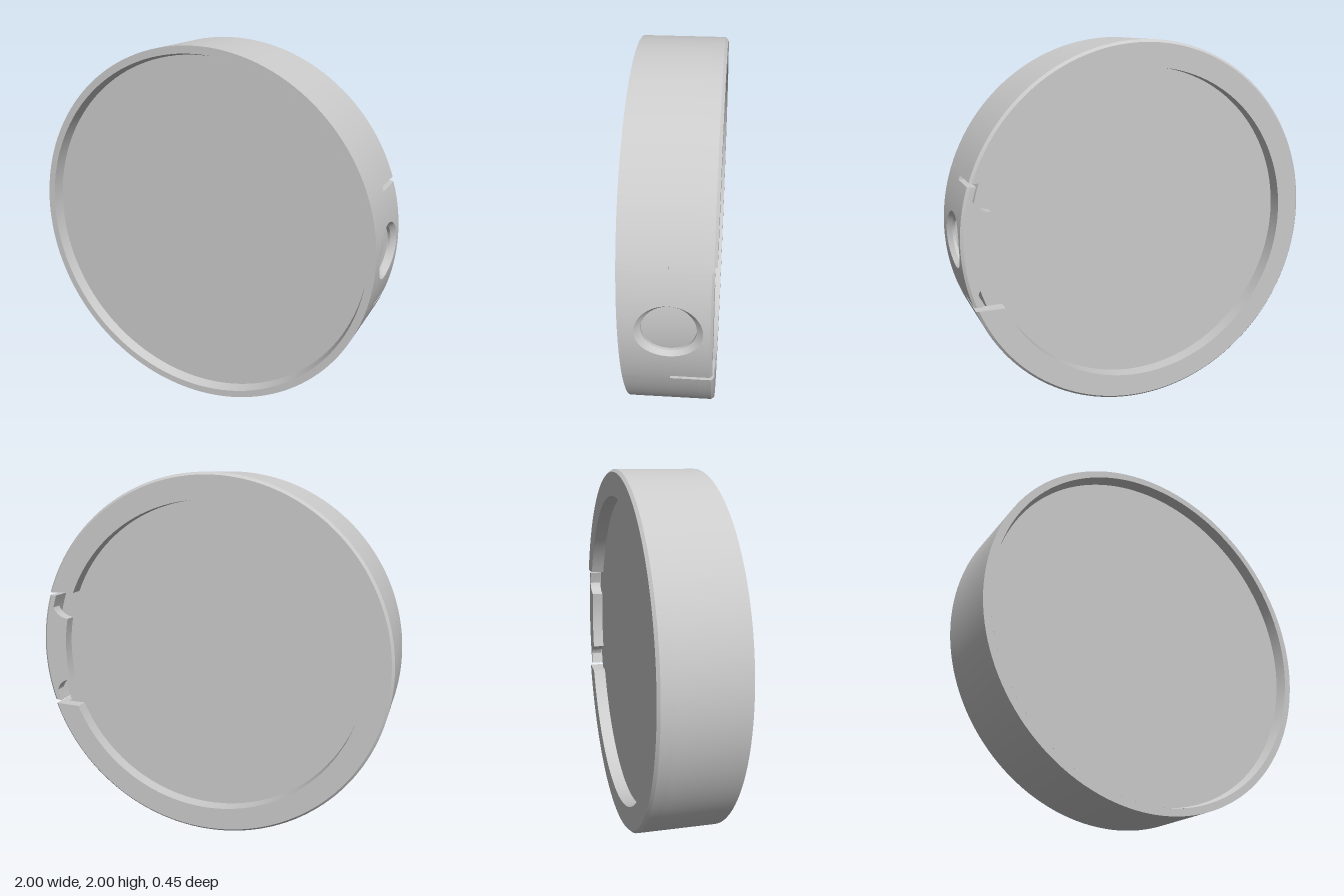
import * as THREE from 'three';
import { toCreasedNormals } from 'three/addons/utils/BufferGeometryUtils.js';

const R = 1, INNER = 0.96, LIP = 0.86;    // outer wall, inner wall, back lip radius
const FRONT = 0.225, BACK = -0.225;
const FLOOR = -0.15;                      // back floor, underside of the lip
const GAP = 0.335, TAB = 0.312;           // half heights of the side opening and of the tab
const TAB_BACK = -0.203, CHAMFER = 0.012;

const onArc = (r, y) => new THREE.Vector2(Math.sqrt(r * r - y * y), y);

// Ring of radii r0..r1 with a level cut open at +x
function openRing(r0, r1) {
  const a1 = Math.asin(GAP / r1), a0 = Math.asin(GAP / r0);
  const s = new THREE.Shape();
  s.absarc(0, 0, r1, a1, 2 * Math.PI - a1, false);
  s.absarc(0, 0, r0, 2 * Math.PI - a0, a0, true);
  s.closePath();
  return s;
}

function extrude(shape, z0, z1, steps = 1) {
  const g = new THREE.ExtrudeGeometry(shape, { depth: z1 - z0, steps, bevelEnabled: false, curveSegments: 64 });
  return g.translate(0, 0, z0);
}

// Back lip with its outer back edge chamfered
function lipGeometry() {
  const g = extrude(openRing(LIP, R), BACK, FLOOR, 5);
  const p = g.attributes.position;
  for (let i = 0; i < p.count; i++) {
    if (p.getZ(i) < BACK + 0.001 && Math.hypot(p.getX(i), p.getY(i)) > 0.98) {
      p.setXY(i, p.getX(i) * 0.986, p.getY(i) * 0.986);
    }
  }
  return g;
}

// Curved wall section with a countersunk round hole, closed on every side
function tabGeometry() {
  const hz = -0.01, rim = [], n = 20;
  const corners = [[-TAB, TAB_BACK], [TAB, TAB_BACK], [TAB, FRONT], [-TAB, FRONT]];
  corners.forEach((c, k) => {
    const d = corners[(k + 1) % 4];
    for (let i = 0; i < n; i++) rim.push([c[0] + (d[0] - c[0]) * i / n, c[1] + (d[1] - c[1]) * i / n]);
  });
  // section rows: blend from border to hole, hole radii in y and z, wall radius, back edge extension
  const m = 8, rows = [[0, 0, 0, 0.986, CHAMFER]];
  for (let j = 0; j <= m; j++) rows.push([j / m, 0.149, 0.16, R, 0]);
  rows.push([1, 0.13, 0.13, 0.975, 0]);
  for (let j = m; j >= 0; j--) rows.push([j / m, 0.13, 0.13, INNER, 0]);
  rows.push([0, 0, 0, INNER, CHAMFER]);
  const pos = [], idx = [], N = rim.length, M = rows.length;
  for (const [t, hy, hzr, r, ext] of rows) {
    for (const [y, z] of rim) {
      const a = Math.atan2(z - hz, y);
      const py = y + (hy * Math.cos(a) - y) * t;
      const pz = z + (hz + hzr * Math.sin(a) - z) * t - (z === TAB_BACK ? ext : 0);
      pos.push(Math.sqrt(r * r - py * py), py, pz);
    }
  }
  for (let j = 0; j < M; j++) {
    for (let i = 0; i < N; i++) {
      const i2 = (i + 1) % N, j2 = (j + 1) % M;
      const a = j * N + i, b = j * N + i2, c = j2 * N + i2, d = j2 * N + i;
      idx.push(a, b, d, b, c, d);
    }
  }
  const g = new THREE.BufferGeometry();
  g.setAttribute('position', new THREE.Float32BufferAttribute(pos, 3));
  g.setIndex(idx);
  return g;
}

// Catch inside the tab, with hollow rounded shoulders
function catchShape() {
  const s = new THREE.Shape(), w = 0.18, e = 0.25, n = 12;
  const at = (r, y) => { const p = onArc(r, y); s.lineTo(p.x, p.y); };
  const p0 = onArc(INNER, -e);
  s.moveTo(p0.x, p0.y);
  for (let i = 1; i <= n; i++) at(INNER + 0.005, -e + 2 * e * i / n);
  const shoulder = onArc(INNER, w + 0.01), tip = onArc(LIP, w);
  s.quadraticCurveTo(shoulder.x - 0.03, shoulder.y, tip.x, tip.y);
  for (let i = 1; i <= n; i++) at(LIP, w - 2 * w * i / n);
  s.quadraticCurveTo(shoulder.x - 0.03, -shoulder.y, p0.x, p0.y);
  return s;
}

// Short wall piece that closes the slot in the front half
function slotEndShape(side) {
  const y0 = side * TAB, y1 = side * GAP;
  return new THREE.Shape([onArc(INNER, y0), onArc(R, y0), onArc(R, y1), onArc(INNER, y1)]);
}

export function createModel() {
  const grey = new THREE.MeshStandardMaterial({ color: 0xcbcbcb });
  grey.name = 'grey';
  const group = new THREE.Group();
  group.name = 'roundCase';
  const add = (name, geometry) => {
    const mesh = new THREE.Mesh(toCreasedNormals(geometry, 0.45), grey);
    mesh.name = name;
    mesh.position.y = 1;
    group.add(mesh);
  };

  add('sideWall', extrude(openRing(INNER, R), FLOOR, FRONT));
  add('backLip', lipGeometry());

  // Solid core: back floor, side behind the tab, recessed front with a tapered border
  const profile = [[0, FLOOR], [0.935, FLOOR], [0.935, 0.13], [INNER, 0.13],
    [INNER, FRONT], [0.948, 0.165], [0, 0.165]];
  const core = new THREE.LatheGeometry(profile.map(p => new THREE.Vector2(...p)), 128);
  add('core', core.rotateX(Math.PI / 2));

  // Springy tab with finger hole, between two slots
  add('springTab', tabGeometry());
  add('tabCatch', extrude(catchShape(), TAB_BACK - CHAMFER, FLOOR));
  add('slotEndUpper', extrude(slotEndShape(1), -0.01, FRONT));
  add('slotEndLower', extrude(slotEndShape(-1), -0.01, FRONT));
  return group;
}
